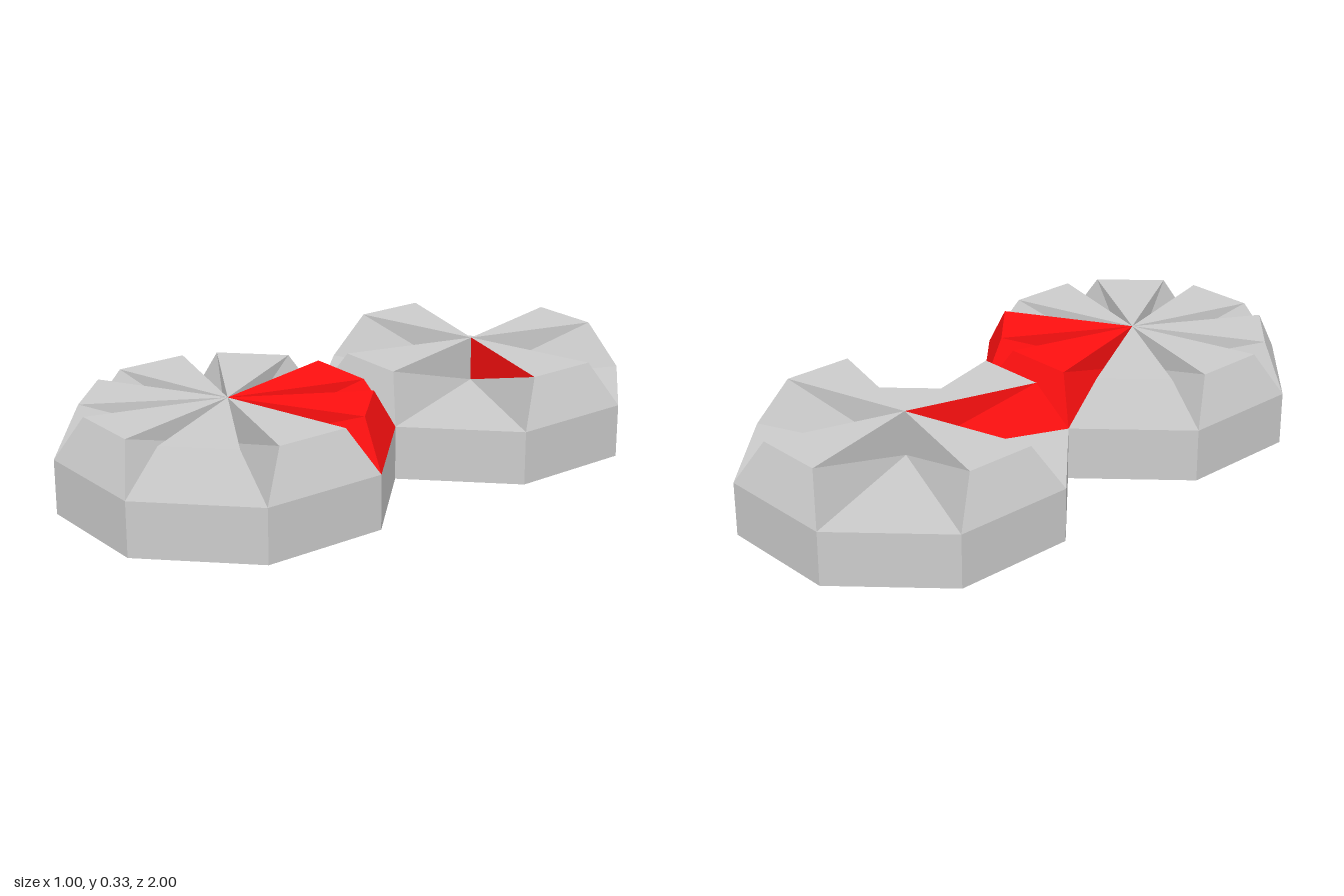
import * as THREE from 'three';

const grey = new THREE.MeshStandardMaterial({ color: 0xcccccc, flatShading: true });
const red = new THREE.MeshStandardMaterial({ color: 0xff1010, flatShading: true });
const BASE = 0.178, TOP = 0.328;
const HALF = 0.5 * Math.tan(Math.PI / 8); // half of one octagon side

// Corners of one wedge pointing to +z: c = centre, l / r = outer corners; 0 = low, 1 = high
const P = {
  c0: [0, BASE, 0], l0: [-HALF, BASE, 0.5], r0: [HALF, BASE, 0.5],
  c1: [0, TOP, 0], l1: [-0.12, TOP, 0.44], r1: [0.12, TOP, 0.44],
};
const BODY = ['c1 l1 r1', 'l0 r0 r1', 'l0 r1 l1', 'r0 c0 r1', 'c0 c1 r1'];
const WALL_LOW = 'l0 l1 c0', WALL_HIGH = 'c0 l1 c1';

function facets(name, triangles, material) {
  const points = triangles.flatMap((t) => t.split(' ').flatMap((k) => P[k]));
  const geometry = new THREE.BufferGeometry();
  geometry.setAttribute('position', new THREE.Float32BufferAttribute(points, 3));
  geometry.computeVertexNormals();
  const mesh = new THREE.Mesh(geometry, material);
  mesh.name = name;
  return mesh;
}

// Raised wedge in sector k (0 = front, counted towards +x)
function wedge(k, body, low = body, high = body) {
  const group = new THREE.Group();
  group.name = 'wedge' + k;
  group.add(
    facets('wedgeBody', BODY, body),
    facets('wedgeWallLower', [WALL_LOW], low),
    facets('wedgeWallUpper', [WALL_HIGH], high),
  );
  group.rotation.y = (k * Math.PI) / 4;
  return group;
}

function octagonBase() {
  const radius = Math.hypot(0.5, HALF);
  const geometry = new THREE.CylinderGeometry(radius, radius, BASE, 8, 1, false, Math.PI / 8);
  const mesh = new THREE.Mesh(geometry, grey);
  mesh.name = 'octagonBase';
  mesh.position.y = BASE / 2;
  return mesh;
}

export function createModel() {
  const model = new THREE.Group();
  model.name = 'octagonPair';

  // Full disc: eight wedges, two of them red
  const front = new THREE.Group();
  front.name = 'fullDisc';
  front.position.z = 0.5;
  front.add(octagonBase());
  for (let k = 0; k < 8; k++) front.add(wedge(k, k === 3 || k === 4 ? red : grey));

  // Open disc: four wedges with flat gaps between, some walls red
  const back = new THREE.Group();
  back.name = 'openDisc';
  back.position.z = -0.5;
  back.add(octagonBase());
  for (let k = 0; k < 8; k += 2) {
    back.add(wedge(k, grey, k === 0 ? red : grey, k <= 2 ? red : grey));
  }

  model.add(front, back);
  return model;
}
